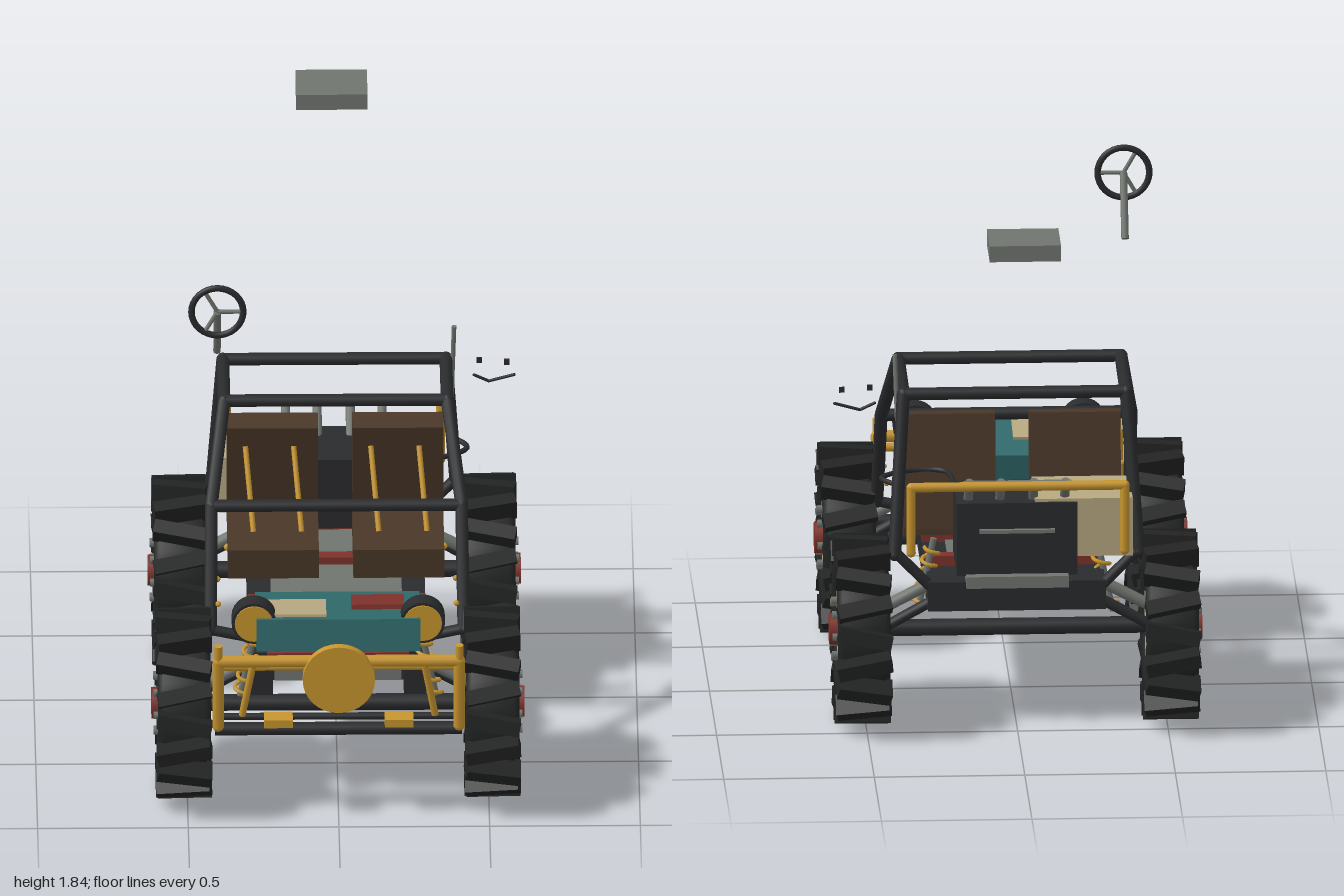
import * as THREE from 'three';

const mat = (name, color, opts = {}) => {
  const m = new THREE.MeshStandardMaterial({ color, ...opts });
  m.name = name;
  return m;
};

export function createModel() {
  const black = mat('frame black', 0x2a2b2d), rubber = mat('tyre rubber', 0x222323);
  const cream = mat('cream', 0xb8a982), gold = mat('golden yellow', 0xc8962f);
  const teal = mat('teal', 0x316a6b), red = mat('rust red', 0x80322b);
  const brown = mat('seat brown', 0x4a3728), gray = mat('metal gray', 0x70756f);

  const model = new THREE.Group();
  model.name = 'buggy';
  const V = (p) => new THREE.Vector3(...p);

  const add = (name, geo, material, pos = [0, 0, 0], parent = model) => {
    const m = new THREE.Mesh(geo, material);
    m.name = name;
    m.position.set(...pos);
    parent.add(m);
    return m;
  };
  const box = (name, material, size, pos, parent) =>
    add(name, new THREE.BoxGeometry(...size), material, pos, parent);
  // straight tube between two points
  const rod = (name, material, a, b, r, parent, sides = 10) => {
    const A = V(a), B = V(b), d = B.clone().sub(A);
    const m = add(name, new THREE.CylinderGeometry(r, r, d.length(), sides), material,
      A.clone().add(B).multiplyScalar(0.5).toArray(), parent);
    m.quaternion.setFromUnitVectors(new THREE.Vector3(0, 1, 0), d.normalize());
    return m;
  };
  // bent bar made of straight tubes with round joints
  const pipe = (name, material, pts, r, parent = model) => {
    const g = new THREE.Group();
    g.name = name;
    parent.add(g);
    pts.forEach((p, i) => {
      add(name + 'Joint', new THREE.SphereGeometry(r, 10, 8), material, p, g);
      if (i) rod(name + 'Bar', material, pts[i - 1], p, r, g);
    });
    return g;
  };

  // wheels, built with the outer face towards +x
  const tyreProfile = [[0.165, -0.07], [0.18, -0.085], [0.225, -0.088], [0.25, -0.07],
    [0.25, 0.07], [0.225, 0.088], [0.18, 0.085], [0.165, 0.07]]
    .map(([r, h]) => new THREE.Vector2(r, h));
  const tyreGeo = new THREE.LatheGeometry(tyreProfile, 36).rotateZ(-Math.PI / 2);
  const lugGeo = new THREE.BoxGeometry(0.18, 0.075, 0.048);
  const disc = (r, w, n) => new THREE.CylinderGeometry(r, r, w, n).rotateZ(-Math.PI / 2);
  const rimGeo = disc(0.172, 0.15, 32), hubGeo = disc(0.055, 0.05, 8), boltGeo = disc(0.013, 0.03, 6);
  const LUGS = 18;
  for (const side of [1, -1]) for (const z of [0.695, -0.34]) {
    const w = new THREE.Group();
    w.name = (z > 0 ? 'front' : 'rear') + (side > 0 ? 'Left' : 'Right') + 'Wheel';
    w.position.set(side * 0.512, 0.32, z);
    if (side < 0) w.rotation.y = Math.PI;
    model.add(w);
    add('tyre', tyreGeo, rubber, [0, 0, 0], w);
    add('rim', rimGeo, cream, [0, 0, 0], w);
    add('hub', hubGeo, red, [0.082, 0, 0], w);
    for (let i = 0; i < 8; i++) {
      const a = (i / 8) * Math.PI * 2;
      add('wheelBolt', boltGeo, gray, [0.085, Math.cos(a) * 0.098, Math.sin(a) * 0.098], w);
    }
    for (let i = 0; i < LUGS; i++) {
      const pivot = new THREE.Group();
      pivot.name = 'treadLug';
      pivot.rotation.x = (i / LUGS) * Math.PI * 2;
      w.add(pivot);
      add('lug', lugGeo, rubber, [0, 0.278, 0], pivot).rotation.y = i % 2 ? 0.2 : -0.2;
    }
  }

  // chassis, floor, cross members and axles
  box('chassis', black, [0.59, 0.1, 1.16], [0, 0.458, 0.13]);
  box('floorPlate', gray, [0.435, 0.012, 0.86], [0, 0.513, 0.2]);
  for (const z of [0.355, 0.025, -0.25]) box('crossMember', red, [0.59, 0.035, 0.047], [0, 0.528, z]);
  box('noseRedBar', red, [0.47, 0.04, 0.04], [0, 0.505, 0.73]);
  box('nosePlate', gray, [0.42, 0.06, 0.04], [0, 0.455, 0.73]);
  for (const z of [0.695, -0.34]) {
    rod('axle', black, [-0.45, 0.32, z], [0.45, 0.32, z], 0.028);
    for (const s of [1, -1]) {
      rod('suspensionArm', gray, [s * 0.27, 0.48, z], [s * 0.44, 0.39, z], 0.02);
      rod('trailingArm', black, [s * 0.28, 0.43, z - 0.06], [s * 0.44, 0.34, z - 0.06], 0.018);
      rod('shock', gray, [s * 0.325, 0.36, z + 0.03], [s * 0.27, 0.62, z + 0.03], 0.011);
      // coil spring around the shock
      const pts = [];
      for (let i = 0; i <= 50; i++) {
        const t = i / 50, a = t * Math.PI * 10;
        pts.push(new THREE.Vector3(s * (0.32 - 0.045 * t) + Math.cos(a) * 0.026,
          0.37 + 0.22 * t, z + 0.03 + Math.sin(a) * 0.026));
      }
      add('coilSpring', new THREE.TubeGeometry(new THREE.CatmullRomCurve3(pts), 90, 0.007, 6), gold);
    }
  }

  // hood with two patches, tilted up at the front
  const hood = new THREE.Group();
  hood.name = 'hood';
  hood.position.set(0, 0.618, 0.702);
  hood.rotation.x = -0.16;
  model.add(hood);
  box('hoodBox', teal, [0.545, 0.11, 0.335], [0, 0, 0], hood);
  box('creamPatch', cream, [0.225, 0.012, 0.185], [-0.152, 0.058, 0.045], hood);
  box('redPatch', red, [0.175, 0.018, 0.125], [0.132, 0.062, -0.015], hood);

  // headlights and brackets
  for (const s of [1, -1]) {
    const x = s * 0.28;
    rod('headlight', black, [x, 0.675, 0.772], [x, 0.675, 0.838], 0.074, model, 24);
    rod('headlightLens', gold, [x, 0.675, 0.836], [x, 0.675, 0.843], 0.064, model, 24);
    box('noseBlock', black, [0.075, 0.105, 0.06], [s * 0.255, 0.458, 0.79]);
  }

  // front guard, bumper and tow hooks
  pipe('guardHoop', gold, [[-0.4, 0.34, 0.92], [-0.4, 0.59, 0.95], [0.4, 0.59, 0.95], [0.4, 0.34, 0.92]], 0.02);
  rod('guardRail', gold, [-0.4, 0.56, 0.925], [0.4, 0.56, 0.925], 0.015);
  rod('guardDisc', gold, [0, 0.535, 0.955], [0, 0.535, 0.985], 0.12, model, 32);
  rod('bumper', black, [-0.41, 0.315, 0.89], [0.41, 0.315, 0.89], 0.022);
  rod('bumperRail', black, [-0.41, 0.36, 0.89], [0.41, 0.36, 0.89], 0.012);
  for (const s of [1, -1]) {
    rod('guardEnd', gold, [s * 0.4, 0.55, 0.95], [s * 0.4, 0.65, 0.958], 0.014);
    rod('guardBrace', gold, [s * 0.32, 0.37, 0.9], [s * 0.285, 0.57, 0.94], 0.012);
    box('towHook', gold, [0.095, 0.028, 0.07], [s * 0.2, 0.37, 0.94]);
  }

  // roll cage
  const cage = new THREE.Group();
  cage.name = 'rollCage';
  model.add(cage);
  for (const s of [1, -1])
    pipe('cageSide', black, [[s * 0.42, 0.5, 0.51], [s * 0.415, 0.86, 0.31], [s * 0.37, 1.13, 0.065],
      [s * 0.37, 1.115, -0.29], [s * 0.405, 0.6, -0.425]], 0.022, cage);
  for (const [x, y, z] of [[0.415, 0.86, 0.31], [0.37, 1.13, 0.065], [0.37, 1.115, -0.29]])
    rod('cageCross', black, [-x, y, z], [x, y, z], 0.021, cage);
  for (const s of [1, -1]) {
    rod('rearMount', black, [s * 0.27, 0.47, -0.42], [s * 0.405, 0.61, -0.425], 0.018, cage);
    rod('frontMount', black, [s * 0.28, 0.47, 0.51], [s * 0.42, 0.5, 0.51], 0.018, cage);
    for (const z of [0.35, 0.545])
      add('cageBolt', new THREE.SphereGeometry(0.01, 8, 6), gold, [s * 0.395, 0.61, z]);
  }

  // seats with harness straps
  for (const s of [1, -1]) {
    const seat = new THREE.Group();
    seat.name = s > 0 ? 'leftSeat' : 'rightSeat';
    seat.position.x = s * 0.208;
    model.add(seat);
    box('cushion', brown, [0.302, 0.105, 0.305], [0, 0.608, 0.065], seat).rotation.x = 0.05;
    box('backrest', brown, [0.302, 0.385, 0.092], [0, 0.797, -0.115], seat).rotation.x = 0.17;
    for (const k of [-1, 1])
      rod('strap', gold, [k * 0.08 - 0.01, 0.91, -0.045], [k * 0.08 + 0.015, 0.66, 0.09], 0.009, seat);
    add('buckle', new THREE.SphereGeometry(0.012, 8, 6), gold, [s * 0.152, 0.607, 0.095], seat);
  }

  // engine, tank and exhausts
  box('engine', black, [0.4, 0.25, 0.265], [0, 0.66, -0.333]);
  box('engineTrim', gray, [0.25, 0.012, 0.02], [0, 0.69, -0.472]);
  box('enginePlate', gray, [0.34, 0.04, 0.1], [0, 0.52, -0.45]);
  box('tank', cream, [0.325, 0.2, 0.255], [-0.222, 0.695, -0.328]);
  for (const x of [-0.16, -0.055, 0.055, 0.16])
    rod('exhaustPipe', gray, [x, 0.775, -0.4], [x, 0.865, -0.49], 0.016);
  rod('exhaustCollector', gray, [-0.18, 0.86, -0.488], [0.18, 0.86, -0.488], 0.011);
  pipe('rearGuard', gold, [[-0.355, 0.635, -0.52], [-0.355, 0.86, -0.52], [0.355, 0.86, -0.52],
    [0.355, 0.635, -0.52]], 0.016);

  // hose beside the engine
  const hose = new THREE.CatmullRomCurve3(
    [[0.2, 0.81, -0.34], [0.23, 0.81, -0.17], [0.34, 0.81, -0.16], [0.44, 0.81, -0.24], [0.38, 0.81, -0.34]].map(V));
  add('hose', new THREE.TubeGeometry(hose, 32, 0.009, 8), black);

  // antenna
  rod('antenna', gray, [0.385, 0.84, -0.32], [0.397, 1.245, -0.262], 0.008);

  // steering wheel and column
  const C = [-0.397, 1.643, 0.462];
  add('steeringWheel', new THREE.TorusGeometry(0.086, 0.011, 10, 32), black, C);
  for (let i = 0; i < 3; i++) {
    const a = (i / 3) * Math.PI * 2;
    rod('steeringSpoke', gray, C, [C[0] + 0.086 * Math.cos(a), C[1] + 0.086 * Math.sin(a), C[2]], 0.007);
  }
  rod('steeringColumn', gray, C, [-0.397, 1.447, 0.35], 0.013);

  // small face marks and loose panel
  for (const [x, y] of [[0.48, 1.127], [0.572, 1.12]])
    box('eyeMark', black, [0.018, 0.018, 0.009], [x, y, -0.248]);
  pipe('mouthMark', black, [[0.463, 1.073, -0.248], [0.512, 1.05, -0.248], [0.596, 1.073, -0.248]], 0.005);
  box('loosePanel', gray, [0.237, 0.055, 0.196], [-0.002, 1.813, -0.902]);

  return model;
}
